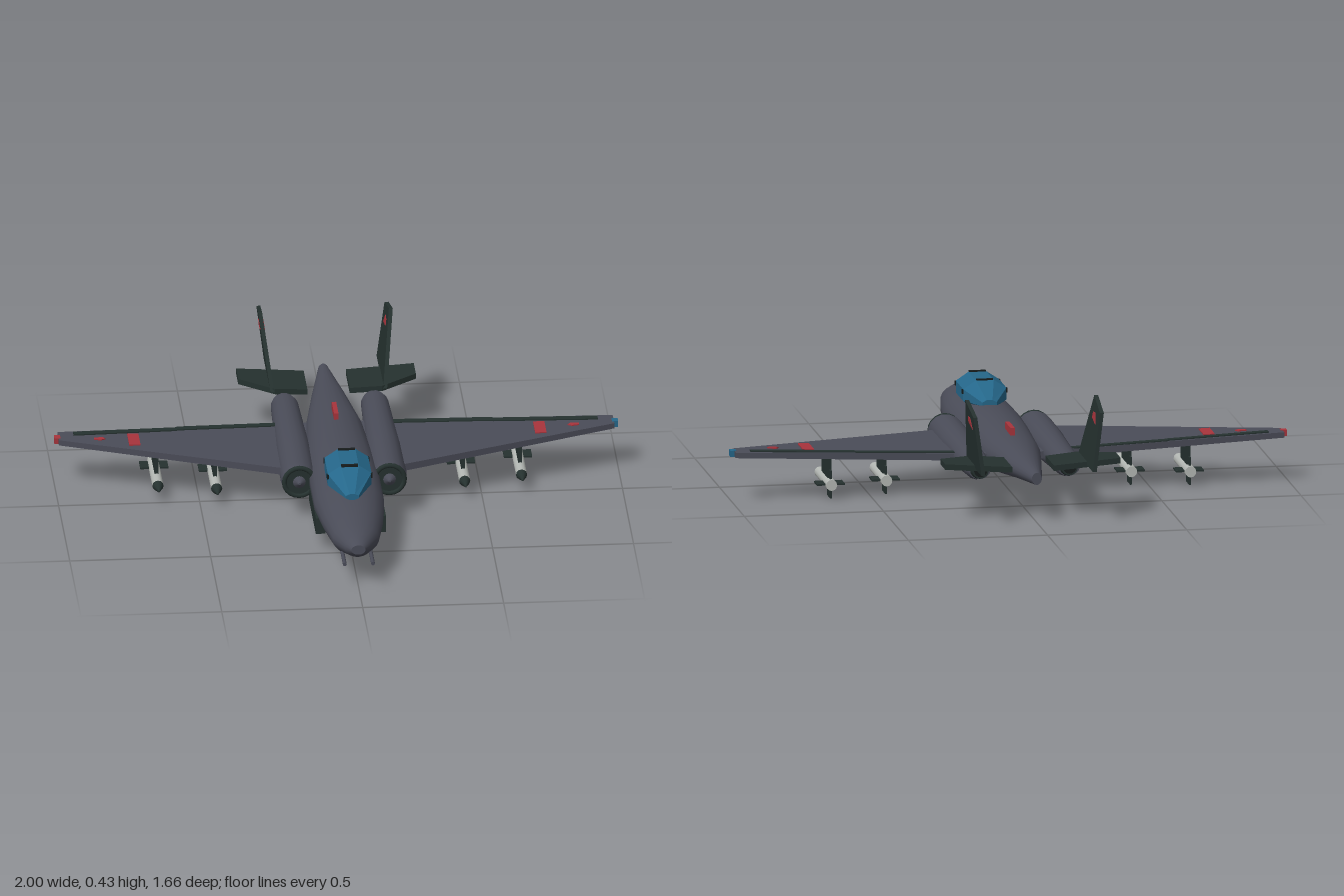
import * as THREE from 'three';

const paint = (name, color) => Object.assign(new THREE.MeshStandardMaterial({ color }), { name });

export function createModel() {
  const grey = paint('hull grey', 0x4a4c58);
  const green = paint('dark green', 0x25312f);
  const black = paint('near black', 0x171c1c);
  const blue = paint('glass blue', 0x25678a);
  const red = paint('signal red', 0xa8343c);
  const silver = paint('store silver', 0xb4b8b4);

  const model = new THREE.Group();
  model.name = 'jetAircraft';

  function add(name, geometry, material, x = 0, y = 0, z = 0, parent = model) {
    const mesh = new THREE.Mesh(geometry, material);
    mesh.name = name;
    mesh.position.set(x, y, z);
    parent.add(mesh);
    return mesh;
  }
  const box = (x, y, z) => new THREE.BoxGeometry(x, y, z);
  // Cylinder lying along z, with its first radius at the front
  const rod = (front, back, length, sides = 12) =>
    new THREE.CylinderGeometry(front, back, length, sides).rotateX(Math.PI / 2);

  // Skin over elliptical sections [z, centre y, half width, half height], nose to tail
  function loft(sections, sides, flat = false) {
    const pos = [], idx = [];
    const ring = ([z, y, w, h]) => {
      for (let j = 0; j < sides; j++) {
        const a = ((j + 0.5) / sides) * Math.PI * 2;
        pos.push(Math.cos(a) * w, y + Math.sin(a) * h, z);
      }
    };
    sections.forEach(ring);
    for (let i = 0; i < sections.length - 1; i++) {
      for (let j = 0; j < sides; j++) {
        const a = i * sides + j, b = i * sides + ((j + 1) % sides);
        idx.push(a, a + sides, b, b, a + sides, b + sides);
      }
    }
    // End caps with their own vertices keep the rims sharp
    [sections[0], sections.at(-1)].forEach((section, end) => {
      const start = pos.length / 3;
      ring(section);
      for (let j = 1; j < sides - 1; j++) {
        idx.push(start, start + j + (end ? 1 : 0), start + j + (end ? 0 : 1));
      }
    });
    let geo = new THREE.BufferGeometry();
    geo.setAttribute('position', new THREE.Float32BufferAttribute(pos, 3));
    geo.setIndex(idx);
    if (flat) geo = geo.toNonIndexed();
    geo.computeVertexNormals();
    return geo;
  }

  const extrude = (points) => new THREE.ExtrudeGeometry(
    new THREE.Shape(points.map(([x, y]) => new THREE.Vector2(x, y))), { depth: 1, bevelEnabled: false });

  // Horizontal plate from [x, z] corners; height and thickness vary along the span
  function plate(points, side, midY, thick) {
    const geo = extrude(points.map(([x, z]) => [x * side, -z])).rotateX(-Math.PI / 2);
    const p = geo.attributes.position;
    for (let i = 0; i < p.count; i++) {
      const span = Math.abs(p.getX(i));
      p.setY(i, midY(span) + (p.getY(i) - 0.5) * thick(span));
    }
    geo.computeVertexNormals();
    return geo;
  }

  // Upright plate from [z, y] corners, leaning outward with height
  function finPlate(points, side, thick) {
    const geo = extrude(points.map(([z, y]) => [-z, y])).rotateY(Math.PI / 2);
    const p = geo.attributes.position;
    for (let i = 0; i < p.count; i++) {
      p.setX(i, side * (0.2 + (p.getY(i) - 0.185) * 0.13) + (p.getX(i) - 0.5) * thick);
    }
    geo.computeVertexNormals();
    return geo;
  }

  // Fuselage
  add('fuselage', loft([
    [0.81, 0.14, 0.025, 0.018], [0.78, 0.138, 0.046, 0.037], [0.7, 0.134, 0.082, 0.058],
    [0.55, 0.136, 0.108, 0.074], [0.4, 0.138, 0.125, 0.082], [0.18, 0.138, 0.125, 0.088],
    [0, 0.137, 0.12, 0.086], [-0.3, 0.143, 0.1, 0.07], [-0.55, 0.152, 0.06, 0.044],
    [-0.785, 0.158, 0.018, 0.022]], 20), grey);
  add('spineBlade', box(0.016, 0.03, 0.105), red, 0, 0.225, -0.245);
  add('chinSensor', loft([[0.59, 0.062, 0.015, 0.008], [0.55, 0.06, 0.03, 0.017],
    [0.51, 0.06, 0.02, 0.01]], 8, true), grey);

  // Canopy with the ends of its frames
  add('canopy', loft([[0.53, 0.225, 0.025, 0.012], [0.41, 0.243, 0.084, 0.056],
    [0.26, 0.243, 0.084, 0.056], [0.165, 0.228, 0.028, 0.016]], 8, true), blue);
  for (const z of [0.41, 0.265]) {
    add('canopyFrameTop', box(0.06, 0.008, 0.012), black, 0, 0.295, z);
    for (const s of [-1, 1]) add('canopyFrameSide', box(0.008, 0.016, 0.014), black, s * 0.077, 0.256, z);
  }

  const wingY = (x) => 0.145 + (x - 0.2) * 0.028;
  const wingThick = (x) => 0.026 - (x - 0.2) * 0.008;
  const wingTop = (x) => wingY(x) + wingThick(x) / 2 + 0.001;
  const thin = () => 0.006;

  for (const s of [-1, 1]) {
    add('gunBarrel', rod(0.007, 0.007, 0.16, 8), grey, s * 0.05, 0.095, 0.75);
    add('sideFairing', box(0.035, 0.06, 0.3), green, s * 0.107, 0.092, 0.32);

    // Engine nacelle, intake and exhaust
    add('nacelle', loft([[0.175, 0.138, 0.06, 0.058], [0.14, 0.139, 0.064, 0.063],
      [-0.1, 0.14, 0.062, 0.061], [-0.3, 0.142, 0.055, 0.052], [-0.5, 0.145, 0.049, 0.043],
      [-0.53, 0.145, 0.04, 0.036]], 16), grey, s * 0.16);
    add('intakeLip', new THREE.TorusGeometry(0.053, 0.009, 8, 20), green, s * 0.16, 0.138, 0.175);
    add('intakeFace', new THREE.CircleGeometry(0.054, 20), green, s * 0.16, 0.138, 0.177);
    add('intakeSpinner', rod(0.004, 0.025, 0.02), grey, s * 0.16, 0.138, 0.185);
    add('exhaust', rod(0.037, 0.03, 0.03, 16), green, s * 0.16, 0.145, -0.535);
    add('exhaustOpening', new THREE.CircleGeometry(0.024, 16).rotateY(Math.PI), black, s * 0.16, 0.145, -0.551);

    // Wing with control surfaces and markings
    add('wing', plate([[0.08, 0.14], [0.985, -0.175], [0.985, -0.25], [0.08, -0.32]],
      s, wingY, wingThick), grey);
    add('flap', plate([[0.2, -0.283], [0.56, -0.254], [0.56, -0.281], [0.2, -0.309]], s, wingTop, thin), green);
    add('aileron', plate([[0.56, -0.25], [0.93, -0.215], [0.93, -0.243], [0.56, -0.275]], s, wingTop, thin), green);
    add('wingBar', plate([[0.7, -0.12], [0.74, -0.12], [0.74, -0.22], [0.7, -0.22]], s, wingTop, thin), red);
    add('wingMark', plate([[0.82, -0.18], [0.835, -0.17], [0.86, -0.175], [0.86, -0.188], [0.83, -0.192]],
      s, wingTop, thin), red);
    add('tipLight', box(0.022, 0.022, 0.03), s > 0 ? blue : red, s * 0.989, 0.167, -0.205);

    // Tail
    add('tailFin', finPlate([[-0.53, 0.185], [-0.68, 0.43], [-0.82, 0.395], [-0.83, 0.185]], s, 0.014), green);
    add('tailFinMark', finPlate([[-0.7, 0.355], [-0.705, 0.377], [-0.74, 0.38], [-0.77, 0.343]], s, 0.018), red);
    add('tailplane', plate([[0.075, -0.54], [0.19, -0.53], [0.315, -0.61], [0.315, -0.705], [0.075, -0.71]],
      s, (x) => 0.172 + x * 0.075, () => 0.02), green);

    // Underwing stores
    for (const [x, z] of [[0.44, 0.06], [0.645, 0.02]]) {
      const store = new THREE.Group();
      store.name = 'missile';
      store.position.set(s * x, 0.05, z);
      model.add(store);
      add('missileNose', rod(0.002, 0.02, 0.055), green, 0, 0, -0.0275, store);
      add('missileBody', rod(0.02, 0.02, 0.235), silver, 0, 0, -0.1725, store);
      add('missileFins', box(0.1, 0.006, 0.06), green, 0, 0, -0.245, store);
      add('missileFins', box(0.006, 0.1, 0.06), green, 0, 0, -0.245, store);
      add('pylon', box(0.014, 0.085, 0.13), green, 0, 0.058, -0.185, store);
    }
  }
  return model;
}
